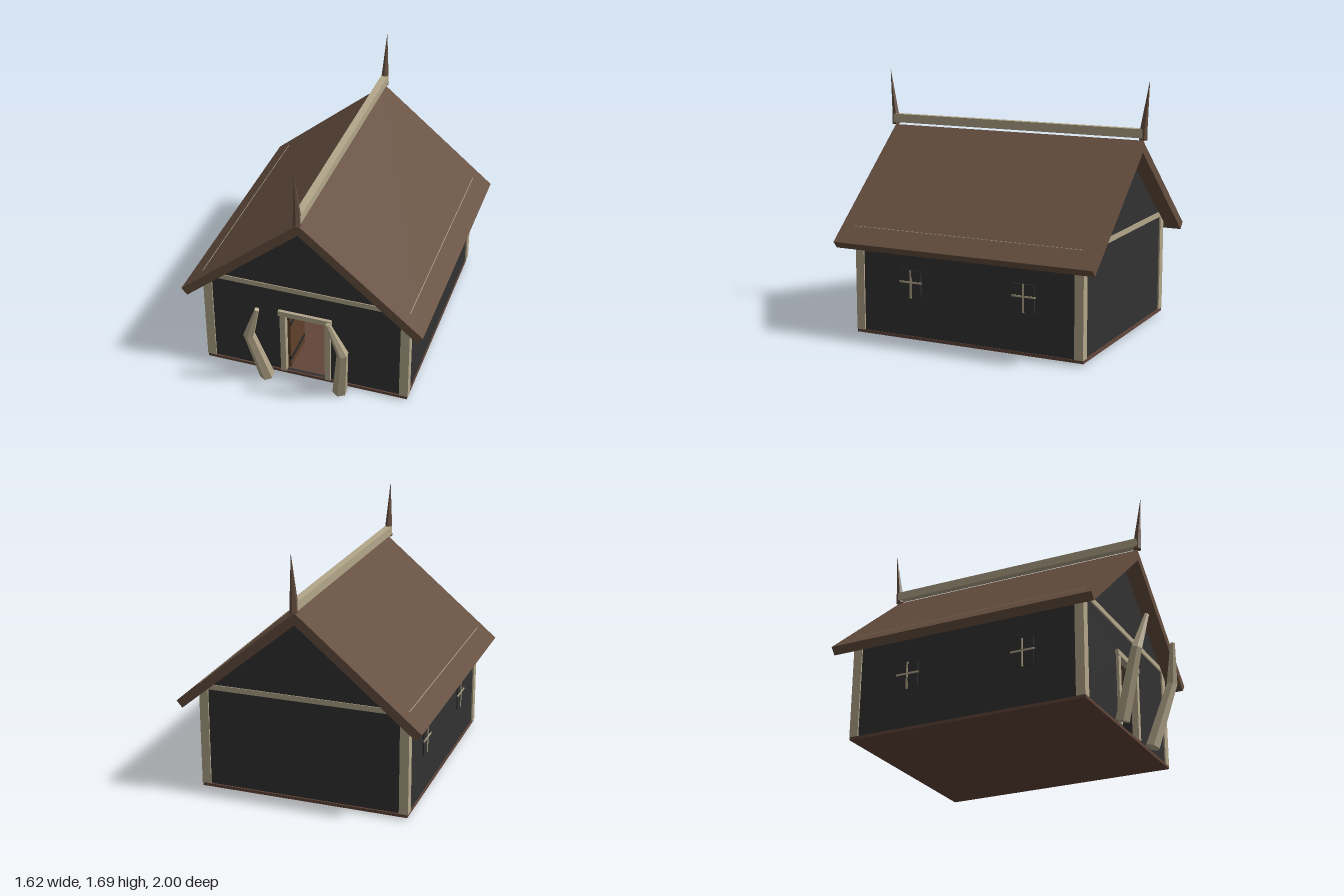
import * as THREE from 'three';

const mat = (name, color, side = THREE.FrontSide) => {
  const m = new THREE.MeshStandardMaterial({ color, side });
  m.name = name;
  return m;
};

export function createModel() {
  const house = new THREE.Group();
  house.name = 'house';
  const wall = mat('charcoal wall', 0x323232);
  const bone = mat('pale beam', 0xb3a78a);
  const roofMat = mat('brown roof', 0x664f40);
  const floorMat = mat('red brown floor', 0x62453a);
  const wood = mat('dark wood', 0x5e4029);
  const iron = mat('iron', 0x2a2a2a);

  const add = (name, geometry, material) => {
    const mesh = new THREE.Mesh(geometry, material);
    mesh.name = name;
    house.add(mesh);
    return mesh;
  };
  // Box given by its limits on each axis
  const box = (name, m, x0, x1, y0, y1, z0, z1) => {
    const mesh = add(name, new THREE.BoxGeometry(x1 - x0, y1 - y0, z1 - z0), m);
    mesh.position.set((x0 + x1) / 2, (y0 + y1) / 2, (z0 + z1) / 2);
    return mesh;
  };
  // Outline in x and y, extruded from z0 to z1
  const plate = (name, m, points, z0, z1, hole) => {
    const shape = new THREE.Shape(points.map(p => new THREE.Vector2(...p)));
    if (hole) shape.holes.push(new THREE.Path(hole.map(p => new THREE.Vector2(...p))));
    const g = new THREE.ExtrudeGeometry(shape, { depth: z1 - z0, bevelEnabled: false });
    return add(name, g.translate(0, 0, z0), m);
  };
  // Six-sided tapering horn along a bent path of [x, y, z, radius]
  const horn = (name, m, path) => {
    const pts = path.map(p => new THREE.Vector3(p[0], p[1], p[2]));
    const rings = pts.map((p, i) => {
      const t = pts[Math.min(i + 1, pts.length - 1)].clone().sub(pts[Math.max(i - 1, 0)]).normalize();
      const u = new THREE.Vector3(1, 0, 0).addScaledVector(t, -t.x).normalize();
      const v = t.clone().cross(u);
      return Array.from({ length: 6 }, (_, k) => {
        const a = (k + 0.5) * Math.PI / 3;
        return p.clone().addScaledVector(u, path[i][3] * Math.cos(a)).addScaledVector(v, path[i][3] * Math.sin(a));
      });
    });
    const tris = [];
    const last = rings.length - 1;
    for (let k = 0; k < 6; k++) {
      const n = (k + 1) % 6;
      for (let i = 0; i < last; i++) {
        const [a, b] = [rings[i], rings[i + 1]];
        tris.push(a[k], a[n], b[n], a[k], b[n], b[k]);
      }
      tris.push(pts[0], rings[0][n], rings[0][k], pts[last], rings[last][k], rings[last][n]);
    }
    const g = new THREE.BufferGeometry().setFromPoints(tris);
    g.computeVertexNormals();
    return add(name, g, m);
  };

  // Floor and walls, with the doorway cut in the front
  box('floor', floorMat, -0.695, 0.695, 0.02, 0.04, -0.86, 0.76);
  const outline = [[-0.69, 0.04], [0.69, 0.04], [0.69, 0.72], [-0.69, 0.72]];
  plate('frontWall', wall, outline, 0.73, 0.75, [[-0.14, 0.041], [-0.14, 0.51], [0.14, 0.51], [0.14, 0.041]]);
  plate('backWall', wall, outline, -0.85, -0.83);
  const gable = [[-0.66, 0.72], [0.66, 0.72], [0, 1.275]];
  plate('frontGable', wall, gable, 0.73, 0.754);
  plate('backGable', wall, gable, -0.854, -0.83);

  for (const s of [-1, 1]) {
    const side = s < 0 ? 'right' : 'left';
    const span = (name, m, a, b, ...rest) => box(side + name, m, Math.min(a * s, b * s), Math.max(a * s, b * s), ...rest);
    span('Wall', wall, 0.67, 0.69, 0.04, 0.72, -0.85, 0.75);
    // Corner posts and eaves beam
    span('FrontPost', bone, 0.64, 0.70, 0.04, 0.71, 0.70, 0.76);
    span('BackPost', bone, 0.64, 0.70, 0.04, 0.71, -0.86, -0.80);
    span('EavesBeam', bone, 0.66, 0.70, 0.70, 0.735, -0.86, 0.76);
    // Windows with a crossed bar
    for (const z of [0.35, -0.455]) {
      span('WindowPane', wall, 0.69, 0.699, 0.30, 0.48, z - 0.075, z + 0.075);
      span('WindowUpright', bone, 0.695, 0.703, 0.295, 0.48, z - 0.006, z + 0.006);
      span('WindowCrossbar', bone, 0.695, 0.703, 0.394, 0.406, z - 0.08, z + 0.08);
    }
    // Door posts
    span('DoorPost', bone, 0.135, 0.172, 0.04, 0.51, 0.725, 0.768);
    // Bent tusk beside the door
    horn(side + 'Tusk', bone, [
      [0.254 * s, 0.018, 0.812, 0.05], [0.315 * s, 0.455, 0.943, 0.038], [0.234 * s, 0.708, 0.989, 0.016],
    ]);
  }
  box('doorLintel', bone, -0.182, 0.18, 0.503, 0.54, 0.725, 0.772);
  box('frontBeam', bone, -0.70, 0.70, 0.70, 0.735, 0.72, 0.76);
  box('backBeam', bone, -0.70, 0.70, 0.70, 0.735, -0.86, -0.82);

  // Roof, ridge beam and end spikes
  plate('roof', roofMat, [[0, 1.315], [-0.81, 0.64], [-0.772, 0.595], [0, 1.238], [0.772, 0.595], [0.81, 0.64]], -0.962, 0.86);
  box('ridgeBeam', bone, -0.024, 0.024, 1.332, 1.39, -0.965, 0.865);
  for (const s of [-1, 1]) {
    const z = d => -0.052 + s * d;
    horn(s > 0 ? 'frontSpike' : 'backSpike', roofMat, [
      [0, 1.318, z(0.91), 0.028], [0, 1.39, z(0.913), 0.025], [0, 1.69, z(0.947), 0.001],
    ]);
  }

  // Open door with iron hinges, and the furniture inside
  box('door', wood, -0.135, -0.115, 0.045, 0.50, 0.46, 0.725);
  for (const y of [0.125, 0.415]) box('doorHinge', iron, -0.137, -0.108, y - 0.012, y + 0.012, 0.47, 0.725);
  box('chest', iron, -0.24, -0.02, 0.04, 0.145, -0.30, -0.10);
  box('tableTop', wood, 0, 0.40, 0.208, 0.222, -0.20, 0.20);
  for (const x of [0.015, 0.37]) for (const z of [-0.19, 0.175]) {
    box('tableLeg', wood, x, x + 0.015, 0.04, 0.208, z, z + 0.015);
  }
  return house;
}
